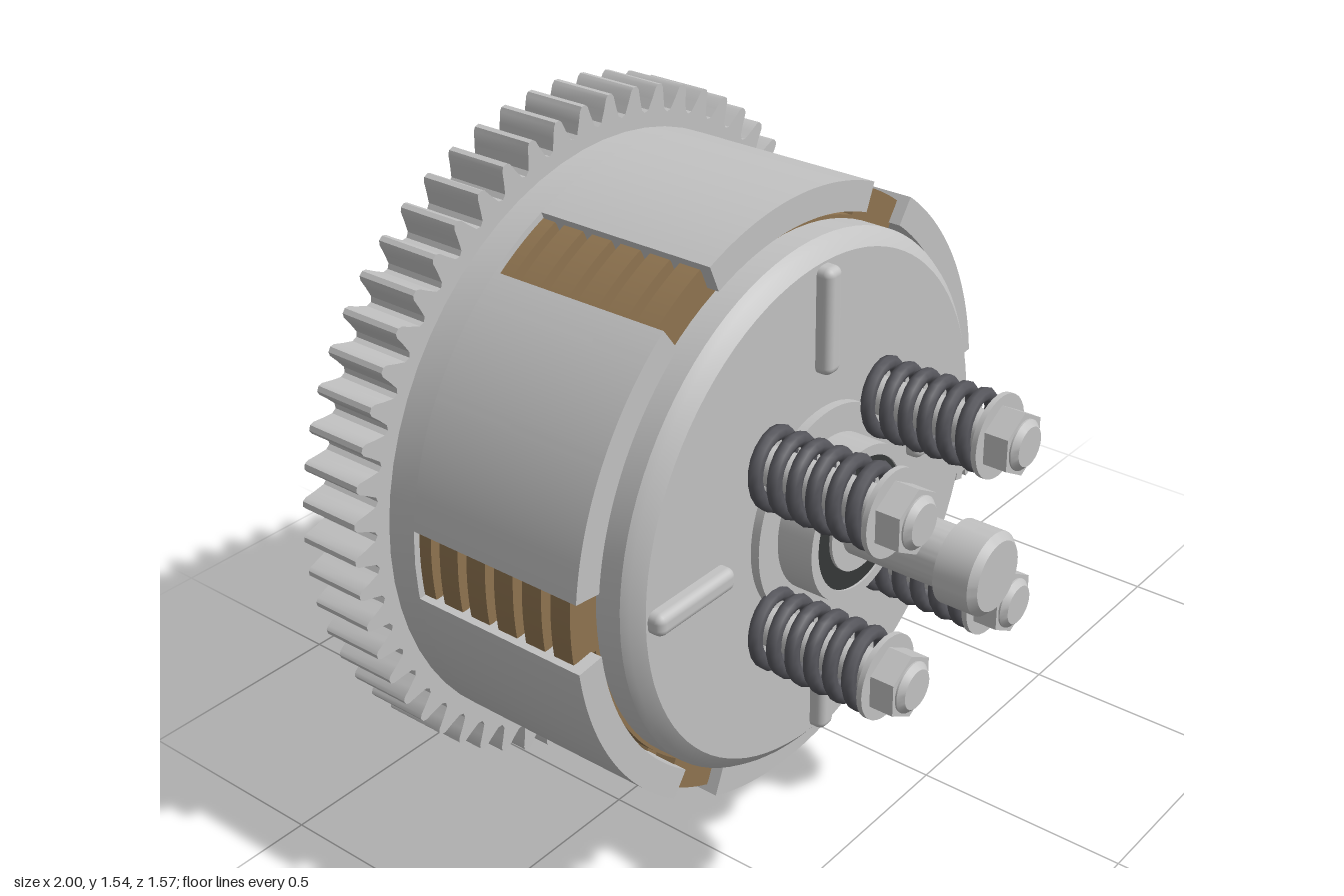
import * as THREE from 'three';
import { toCreasedNormals } from 'three/addons/utils/BufferGeometryUtils.js';
import { RoundedBoxGeometry } from 'three/addons/geometries/RoundedBoxGeometry.js';

const TAU = Math.PI * 2;

export function createModel() {
  const model = new THREE.Group();
  model.name = 'clutchAssembly';
  const mat = (name, color) => Object.assign(new THREE.MeshStandardMaterial({ color }), { name });
  const steel = mat('lightSteel', 0xc2c2c2);
  const friction = mat('frictionBrown', 0x8f7450);
  const springSteel = mat('darkSpringSteel', 0x55555b);
  const rubber = mat('blackSeal', 0x363838);

  const clutch = new THREE.Group();
  clutch.name = 'clutch';
  clutch.position.set(-0.228, 0.775, 0);
  const pinion = new THREE.Group();
  pinion.name = 'pinionShaft';
  pinion.position.set(0.718, 0.435, 0);
  model.add(clutch, pinion);

  const add = (parent, name, geo, material, x = 0, y = 0, z = 0) => {
    const m = new THREE.Mesh(geo, material);
    m.name = name;
    m.position.set(x, y, z);
    parent.add(m);
    return m;
  };
  // Turned part along z from [radius, z] pairs, back to front
  const turned = (profile, seg = 64) => toCreasedNormals(
    new THREE.LatheGeometry(profile.map(([r, z]) => new THREE.Vector2(r, z)), seg).rotateX(Math.PI / 2), 0.5);
  const rod = (r, z0, z1, c = 0, seg = 48) =>
    turned([[0, z0], [r - c, z0], [r, z0 + c], [r, z1 - c], [r - c, z1], [0, z1]], seg);
  const ring = (ri, ro, z0, z1) => turned([[ri, z0], [ro, z0], [ro, z1], [ri, z1], [ri, z0]]);
  const extrude = (shape, z0, z1, curveSegments = 24) => toCreasedNormals(
    new THREE.ExtrudeGeometry(shape, { depth: z1 - z0, bevelEnabled: false, curveSegments }).translate(0, 0, z0), 0.5);
  const hole = (r) => new THREE.Path().absarc(0, 0, r, 0, TAU, true);

  // Outline repeated around a circle from [fraction of pitch, radius] pairs
  const toothed = (count, phase, tooth) => {
    const pts = [];
    for (let i = 0; i < count; i++) for (const [f, r] of tooth) {
      const a = phase + ((i + f) / count) * TAU;
      pts.push(new THREE.Vector2(Math.cos(a) * r, Math.sin(a) * r));
    }
    return new THREE.Shape(pts);
  };
  const gearTooth = (tip, root) => {
    const h = tip - root;
    return [[-0.5, root], [-0.36, root + 0.1 * h], [-0.24, root + 0.5 * h], [-0.15, root + 0.88 * h],
      [-0.07, tip], [0.07, tip], [0.15, root + 0.88 * h], [0.24, root + 0.5 * h], [0.36, root + 0.1 * h]];
  };
  // Coil spring along z
  const coil = (r, wire, turns, z0, z1) => {
    const pts = [];
    const n = turns * 12;
    for (let i = 0; i <= n; i++) {
      const a = (i / 12) * TAU;
      pts.push(new THREE.Vector3(Math.cos(a) * r, Math.sin(a) * r, z0 + (z1 - z0) * i / n));
    }
    return new THREE.TubeGeometry(new THREE.CatmullRomCurve3(pts), turns * 20, wire, 8);
  };

  // Large gear with six damper windows
  const mesh = Math.atan2(-0.34, 0.946);
  const gear = toothed(60, mesh, gearTooth(0.772, 0.712));
  gear.holes.push(hole(0.18));
  for (let i = 0; i < 6; i++) {
    const a = Math.PI / 6 + i * Math.PI / 3;
    const corner = (u, v) => new THREE.Vector2(
      Math.cos(a) * u - Math.sin(a) * v, Math.sin(a) * u + Math.cos(a) * v);
    gear.holes.push(new THREE.Path([corner(0.39, -0.08), corner(0.39, 0.08), corner(0.48, 0.08), corner(0.48, -0.08)]));
    const s = add(clutch, 'damperSpring', coil(0.033, 0.009, 6, -0.072, 0.072), springSteel,
      Math.cos(a) * 0.435, Math.sin(a) * 0.435, -0.3);
    s.rotation.set(Math.PI / 2, a, 0, 'ZXY');
    s.rotation.z = 0;
    s.quaternion.setFromUnitVectors(new THREE.Vector3(0, 0, 1), new THREE.Vector3(-Math.sin(a), Math.cos(a), 0));
  }
  add(clutch, 'primaryGear', extrude(gear, -0.37, -0.22), steel);

  // Basket: floor, base ring and six fingers
  add(clutch, 'basketFloor', ring(0.14, 0.65, -0.235, -0.19), steel);
  add(clutch, 'basketBase', ring(0.615, 0.68, -0.22, -0.15), steel);
  const gap = 0.117;
  for (let i = 0; i < 6; i++) {
    const a0 = i * Math.PI / 3 + gap, a1 = (i + 1) * Math.PI / 3 - gap;
    const finger = new THREE.Shape();
    finger.absarc(0, 0, 0.68, a0, a1, false);
    finger.absarc(0, 0, 0.615, a1, a0, true);
    finger.closePath();
    add(clutch, 'basketFinger', extrude(finger, -0.15, 0.28), steel);
  }

  // Clutch pack: tabbed friction plates with steel plates between
  const tabbed = new THREE.Shape();
  for (let i = 0; i < 6; i++) {
    const a = i * Math.PI / 3;
    tabbed.absarc(0, 0, 0.665, a - 0.115, a + 0.115, false);
    tabbed.absarc(0, 0, 0.602, a + 0.13, a + Math.PI / 3 - 0.13, false);
  }
  tabbed.closePath();
  tabbed.holes.push(hole(0.42));
  const plateGeo = extrude(tabbed, -0.025, 0.025, 10);
  const steelGeo = ring(0.4, 0.59, -0.012, 0.012);
  for (let i = 0; i < 6; i++) {
    const z = 0.227 - i * 0.074;
    add(clutch, 'frictionPlate', plateGeo, friction, 0, 0, z);
    if (i < 5) add(clutch, 'steelPlate', steelGeo, steel, 0, 0, z - 0.037);
  }
  add(clutch, 'innerHub', rod(0.42, -0.2, 0.27), steel);

  // Pressure plate with four ribs
  add(clutch, 'pressurePlate', turned([[0, 0.255], [0.595, 0.255], [0.595, 0.315], [0.585, 0.33],
    [0.56, 0.35], [0, 0.35]], 96), steel);
  const ribGeo = new RoundedBoxGeometry(0.235, 0.05, 0.08, 3, 0.018);
  for (let i = 0; i < 4; i++) {
    const a = i * Math.PI / 2;
    add(clutch, 'plateRib', ribGeo, steel, Math.cos(a) * 0.437, Math.sin(a) * 0.437, 0.343).rotation.z = a;
  }

  // Spring posts
  const coilGeo = coil(0.073, 0.016, 6, 0.36, 0.64);
  const washerGeo = rod(0.092, 0.648, 0.66, 0, 32);
  const studGeo = rod(0.042, 0.34, 0.66, 0, 24);
  const headGeo = toCreasedNormals(new THREE.CylinderGeometry(0.072, 0.072, 0.055, 6)
    .rotateX(Math.PI / 2).translate(0, 0, 0.687), 0.5);
  const capGeo = rod(0.055, 0.70, 0.73, 0.012, 32);
  for (const sx of [-1, 1]) for (const sy of [-1, 1]) {
    const post = new THREE.Group();
    post.name = 'springPost';
    post.position.set(sx * 0.19, sy * 0.19, 0);
    clutch.add(post);
    add(post, 'clutchSpring', coilGeo, springSteel);
    add(post, 'springStud', studGeo, steel);
    add(post, 'springWasher', washerGeo, steel);
    add(post, 'boltHead', headGeo, steel);
    add(post, 'boltCap', capGeo, steel);
  }

  // Central bearing, push rod and main shaft
  add(clutch, 'bearingFlange', ring(0.15, 0.235, 0.34, 0.37), steel);
  add(clutch, 'bearingCollar', ring(0.148, 0.172, 0.34, 0.455), steel);
  add(clutch, 'bearingSeal', ring(0.104, 0.15, 0.34, 0.45), rubber);
  add(clutch, 'bearingInner', rod(0.105, 0.34, 0.457), steel);
  add(clutch, 'pushRod', turned([[0, 0.44], [0.067, 0.44], [0.067, 0.69], [0.09, 0.69],
    [0.09, 0.77], [0.075, 0.785], [0, 0.785]]), steel);
  add(clutch, 'mainShaft', rod(0.141, -0.785, -0.19, 0.035), steel);

  // Pinion gear, phased to mesh with the large gear
  add(pinion, 'pinionGear', extrude(toothed(21, mesh + Math.PI + Math.PI / 21, gearTooth(0.279, 0.222)), -0.37, -0.22), steel);
  add(pinion, 'rearShaft', turned([[0, -0.75], [0.112, -0.75], [0.12, -0.742], [0.12, -0.528], [0.112, -0.52],
    [0.105, -0.52], [0.105, -0.37], [0, -0.37]]), steel);
  add(pinion, 'hexNut', toCreasedNormals(new THREE.CylinderGeometry(0.13, 0.13, 0.084, 6)
    .rotateX(Math.PI / 2).rotateZ(Math.PI).translate(0, 0, -0.168), 0.5), steel);
  add(pinion, 'frontShaft', rod(0.104, -0.22, 0.02), steel);
  const spline = toothed(14, 0, [[-0.3, 0.104], [0.3, 0.104], [0.34, 0.084], [0.66, 0.084]]);
  spline.holes.push(hole(0.052));
  add(pinion, 'splineEnd', extrude(spline, 0.02, 0.12), steel);

  return model;
}
